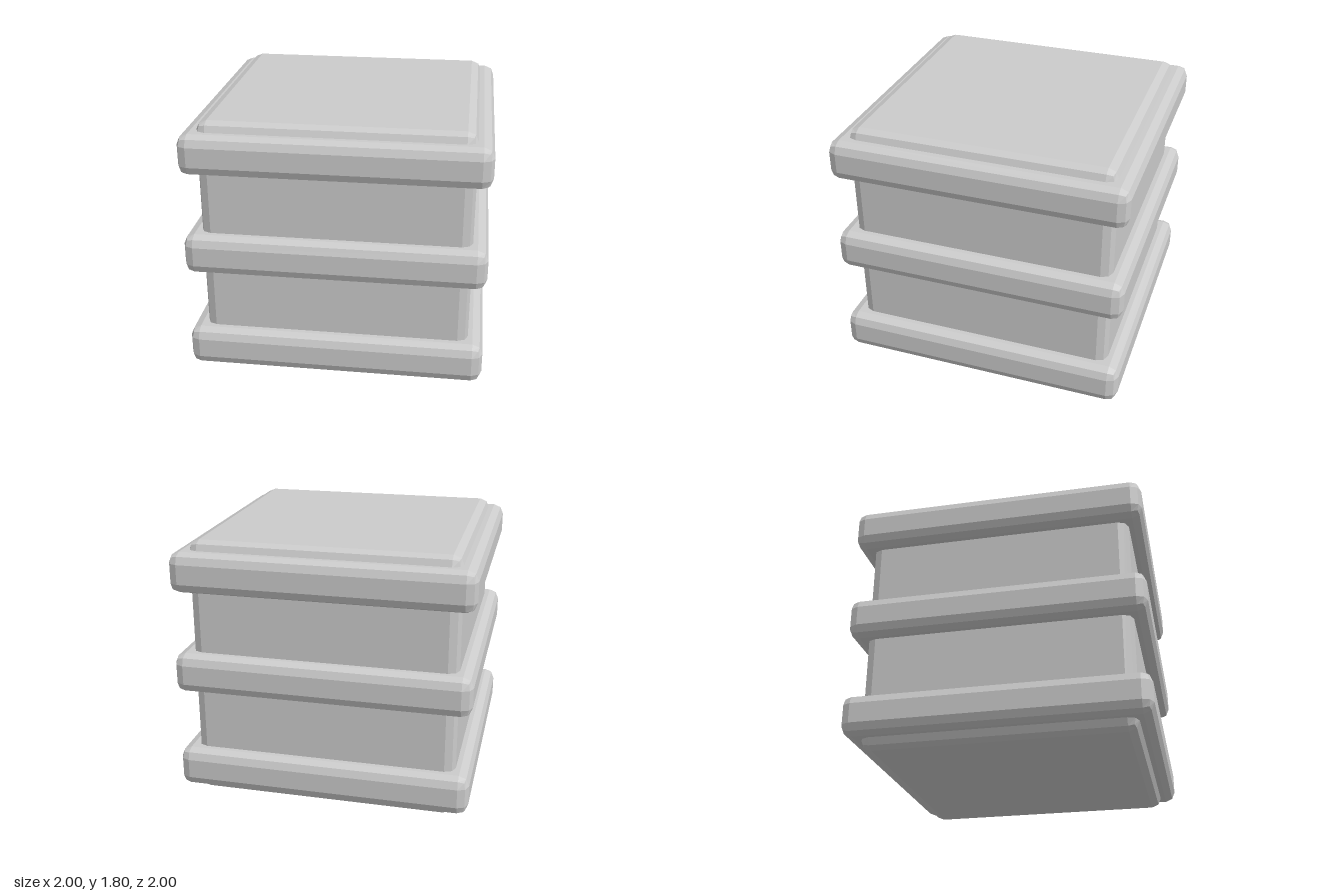
import * as THREE from 'three';
import { RoundedBoxGeometry } from 'three/addons/geometries/RoundedBoxGeometry.js';

const BEVEL = 0.07;

export function createModel() {
  const group = new THREE.Group();
  group.name = 'bandedCrate';
  const material = new THREE.MeshStandardMaterial({ color: 0xcccccc, flatShading: true });

  // Square block with two-step bevelled edges, spanning y0 to y1
  function addBlock(name, width, y0, y1) {
    const geometry = new RoundedBoxGeometry(width, y1 - y0, width, 1, BEVEL);
    const mesh = new THREE.Mesh(geometry, material);
    mesh.name = name;
    mesh.position.y = (y0 + y1) / 2;
    group.add(mesh);
  }

  // Core body
  addBlock('body', 1.796, 0, 1.803);

  // Three bands wrapped around the body
  addBlock('lowerBand', 2, 0.068, 0.341);
  addBlock('middleBand', 2, 0.768, 1.041);
  addBlock('upperBand', 2, 1.467, 1.74);

  return group;
}
